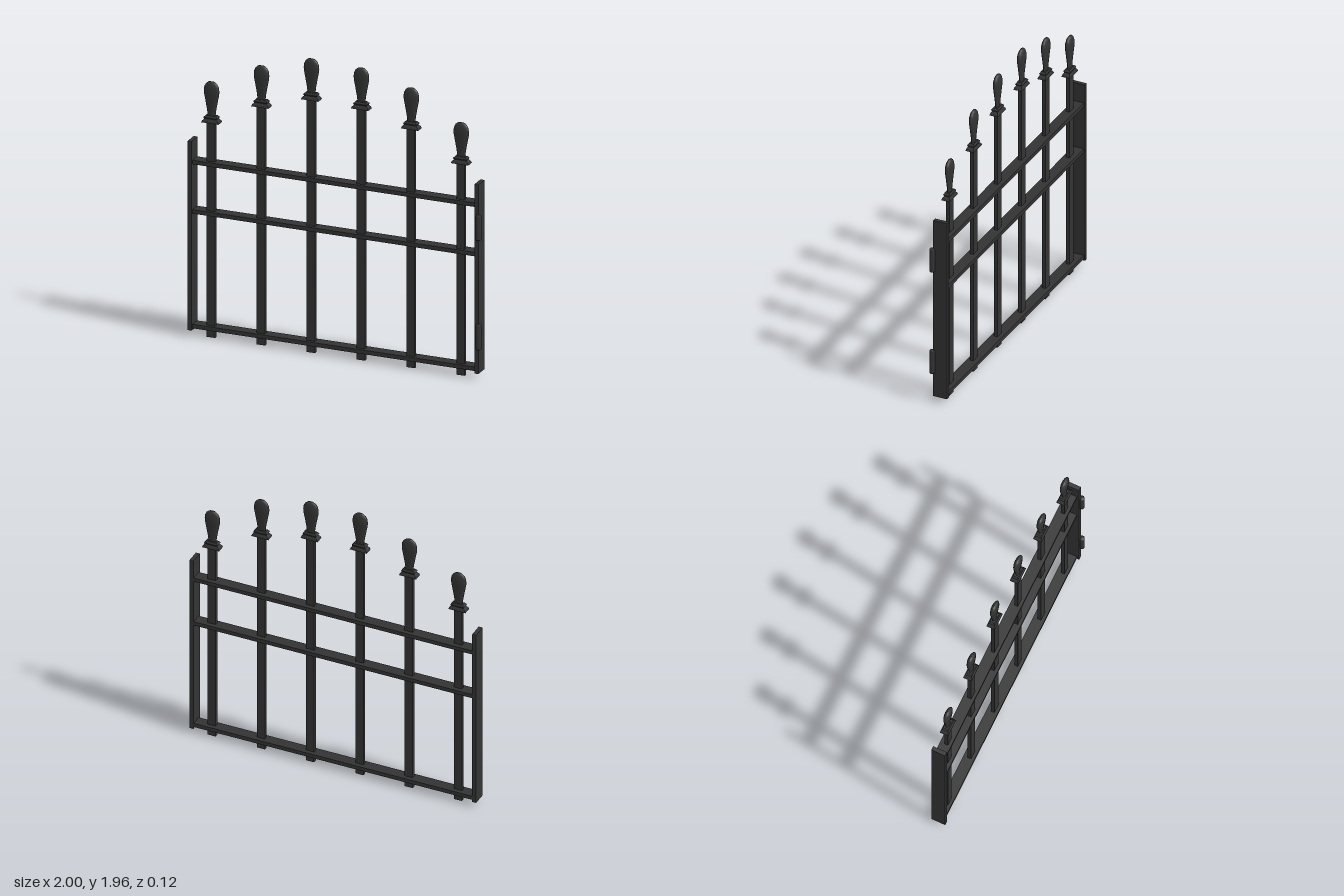
import * as THREE from 'three';

const Z = -0.012; // middle plane of the gate

export function createModel() {
  const gate = new THREE.Group();
  gate.name = 'gate';
  const iron = new THREE.MeshStandardMaterial({ color: 0x333333 });
  iron.name = 'dark iron';

  const add = (parent, name, geometry, x, y, z) => {
    const mesh = new THREE.Mesh(geometry, iron);
    mesh.name = name;
    mesh.position.set(x, y, z);
    parent.add(mesh);
    return mesh;
  };

  // Rectangular tapered block with crisp faces, standing on y = 0
  const taper = (bottomW, bottomD, topW, topD, height, y) => {
    const g = new THREE.BoxGeometry(1, height, 1).toNonIndexed();
    const p = g.attributes.position;
    for (let i = 0; i < p.count; i++) {
      const top = p.getY(i) > 0;
      p.setX(i, p.getX(i) * (top ? topW : bottomW));
      p.setZ(i, p.getZ(i) * (top ? topD : bottomD));
    }
    g.computeVertexNormals();
    return g.translate(0, y + height / 2, 0);
  };

  // Flat side posts
  add(gate, 'rightPost', new THREE.BoxGeometry(0.027, 1.26, 0.096), -0.986, 0.67, Z);
  add(gate, 'leftPost', new THREE.BoxGeometry(0.027, 1.26, 0.096), 0.964, 0.67, Z);

  // Horizontal rails
  for (const y of [0.064, 0.828, 1.157]) {
    add(gate, 'rail', new THREE.BoxGeometry(1.935, 0.027, 0.074), -0.011, y, Z - 0.004);
  }

  // Finial: tiered collar below a flattened bulb
  const collar = [
    taper(0.118, 0.058, 0.108, 0.052, 0.012, 0),
    taper(0.108, 0.052, 0.08, 0.036, 0.014, 0.012),
    taper(0.084, 0.042, 0.094, 0.046, 0.008, 0.026),
    taper(0.094, 0.046, 0.07, 0.032, 0.012, 0.034),
  ];
  const profile = [
    [0.026, 0.04], [0.032, 0.085], [0.043, 0.145], [0.051, 0.185], [0.053, 0.207],
    [0.05, 0.232], [0.039, 0.254], [0.022, 0.268], [0, 0.271],
  ].map(([r, y]) => new THREE.Vector2(r, y));
  const bulb = new THREE.LatheGeometry(profile, 16).scale(1, 1, 0.4);

  // Upright bars, rising toward the middle
  const collarHeights = [1.43, 1.587, 1.684, 1.673, 1.591, 1.41];
  collarHeights.forEach((h, i) => {
    const picket = new THREE.Group();
    picket.name = 'picket';
    picket.position.set(-0.857 + i * 0.3396, 0, Z);
    gate.add(picket);
    add(picket, 'bar', new THREE.BoxGeometry(0.056, h + 0.02, 0.024), 0, (h + 0.02) / 2, 0);
    const finial = new THREE.Group();
    finial.name = 'finial';
    finial.position.y = h;
    picket.add(finial);
    collar.forEach((g) => add(finial, 'collar', g, 0, 0, 0));
    add(finial, 'bulb', bulb, 0, 0, 0);
  });

  // Hinge barrels with chamfered ends
  const barrel = new THREE.LatheGeometry(
    [[0, -0.083], [0.013, -0.083], [0.018, -0.077], [0.018, 0.077], [0.013, 0.083], [0, 0.083]]
      .map(([r, y]) => new THREE.Vector2(r, y)), 16);
  for (const y of [0.288, 1.016]) add(gate, 'hinge', barrel, 0.981, y, 0.041);

  return gate;
}
